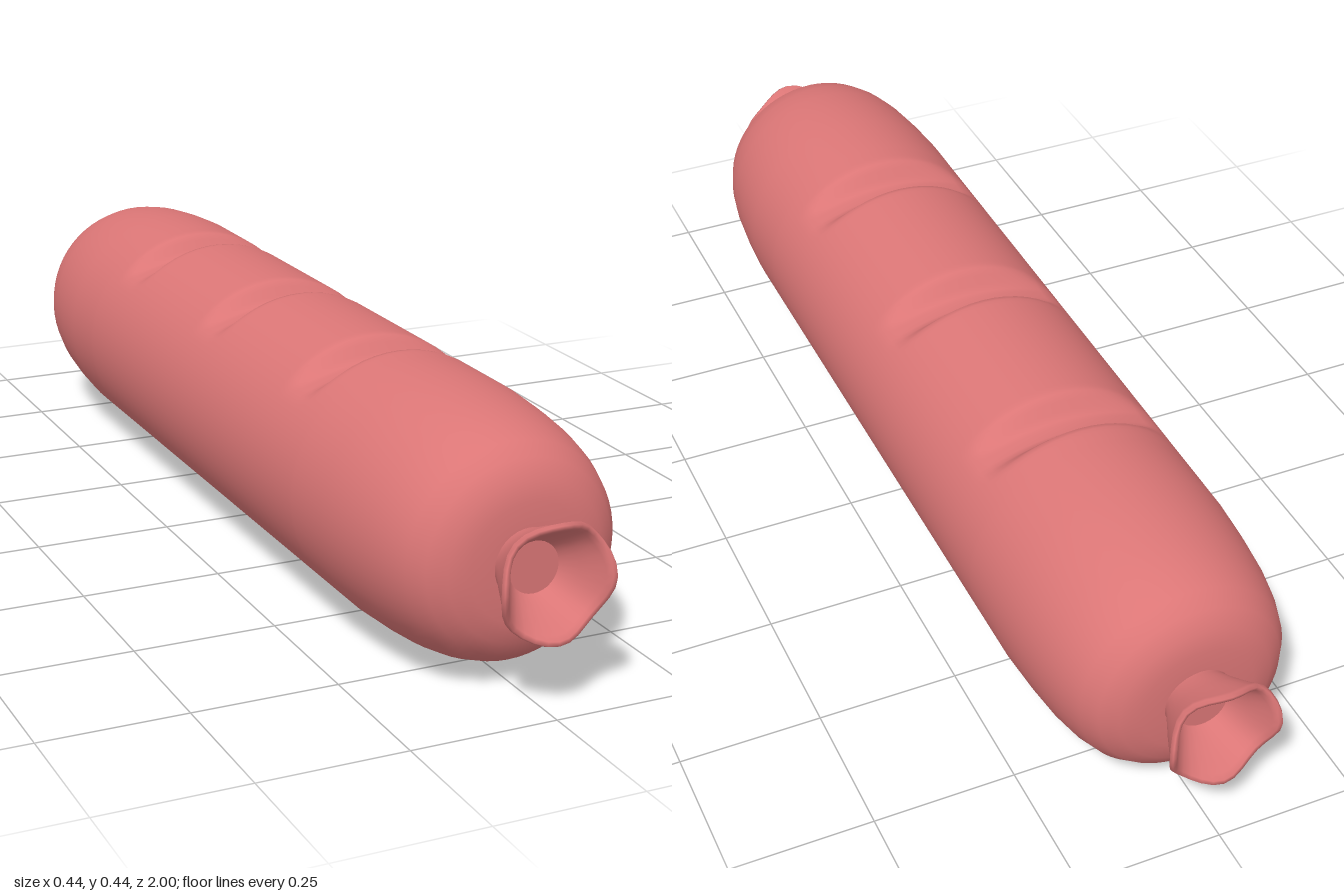
import * as THREE from 'three';
import { mergeVertices } from 'three/addons/utils/BufferGeometryUtils.js';

const AXIS_Y = 0.222;

// Lathe around the z axis, reshaped by a rule, with seamless smooth normals
function turned(profile, sides, rule) {
  const lathe = new THREE.LatheGeometry(profile.map(([r, z]) => new THREE.Vector2(r, z)), sides);
  lathe.rotateX(Math.PI / 2);
  lathe.deleteAttribute('uv');
  lathe.deleteAttribute('normal');
  const geometry = mergeVertices(lathe, 1e-5);
  const pos = geometry.attributes.position;
  const v = new THREE.Vector3();
  for (let i = 0; i < pos.count; i++) {
    rule(v.fromBufferAttribute(pos, i));
    pos.setXYZ(i, v.x, v.y, v.z);
  }
  geometry.computeVertexNormals();
  return geometry;
}

export function createModel() {
  const group = new THREE.Group();
  const skin = new THREE.MeshStandardMaterial({ color: 0xdb7676 });
  skin.name = 'sausage pink';

  function add(name, geometry, parent = group) {
    const mesh = new THREE.Mesh(geometry, skin);
    mesh.name = name;
    parent.add(mesh);
    return mesh;
  }

  // Body: rounded ends, finely sampled where the cuts lie
  const end = [[0, 0.9], [0.05, 0.9], [0.1, 0.899], [0.135, 0.89], [0.163, 0.872],
    [0.183, 0.845], [0.197, 0.805], [0.207, 0.755], [0.214, 0.69], [0.219, 0.61]];
  const profile = end.map(([r, z]) => [r, -z]);
  for (let z = -0.5; z < 0.501; z += 0.01) profile.push([0.219, z]);
  profile.push(...end.slice().reverse());

  // Three scored cuts across the top, each with an arched floor
  const cuts = [-0.4, 0, 0.4];
  add('body', turned(profile, 60, (v) => {
    if (v.y <= 0.1) return;
    for (const z of cuts) {
      const strength = 1 - THREE.MathUtils.smoothstep(Math.abs(v.z - z), 0.015, 0.055);
      const floor = 0.181 - 1.3 * v.x * v.x;
      if (v.y > floor) v.y += (floor - v.y) * strength;
    }
  })).position.y = AXIS_Y;

  // Flared casing ends with a wavy rim and a hollow mouth
  const flare = [[0.058, 0.885], [0.06, 0.905], [0.077, 0.94], [0.094, 0.975], [0.1, 0.984],
    [0.097, 0.99], [0.09, 0.989], [0.084, 0.98], [0.062, 0.945], [0.043, 0.915]];
  for (const [name, turn] of [['frontTie', 0], ['backTie', Math.PI]]) {
    const tie = new THREE.Group();
    tie.name = name;
    tie.position.y = AXIS_Y;
    tie.rotation.y = turn;
    add('flaredEnd', turned(flare, 32, (v) => {
      const weight = THREE.MathUtils.smoothstep(v.z, 0.92, 0.985);
      v.z += 0.01 * weight * Math.cos(4 * Math.atan2(v.y, v.x));
    }), tie);
    add('mouthFloor', new THREE.CircleGeometry(0.044, 32), tie).position.z = 0.9155;
    group.add(tie);
  }
  return group;
}
